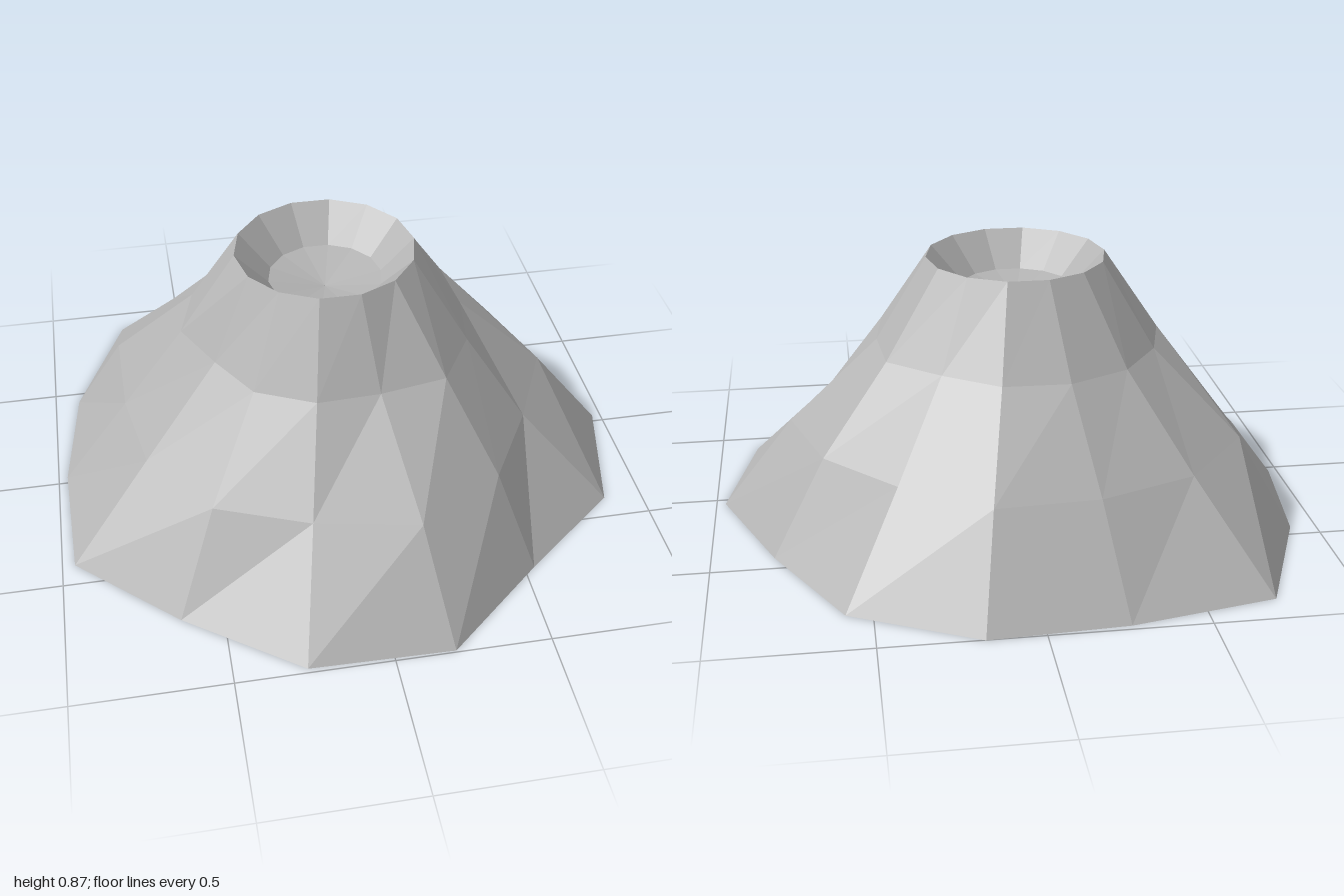
import * as THREE from 'three';

const SIDES = 14;
const CENTRE_X = -0.04, CENTRE_Z = -0.03;

// A ring of points: one radius for a regular ring, or a radius per corner.
function ring(y, radii) {
  return Array.from({ length: SIDES }, (_, i) => {
    const a = (i / SIDES) * Math.PI * 2;
    const r = Array.isArray(radii) ? radii[i] : radii;
    return [CENTRE_X + r * Math.cos(a), y, CENTRE_Z + r * Math.sin(a)];
  });
}

// Joins successive rings (first to last) with faceted triangles.
function loft(rings) {
  const pos = [];
  for (let k = 0; k < rings.length - 1; k++) {
    const lo = rings[k], hi = rings[k + 1];
    for (let i = 0; i < SIDES; i++) {
      const j = (i + 1) % SIDES;
      pos.push(...lo[i], ...hi[i], ...lo[j]);
      pos.push(...lo[j], ...hi[i], ...hi[j]);
    }
  }
  const geo = new THREE.BufferGeometry();
  geo.setAttribute('position', new THREE.Float32BufferAttribute(pos, 3));
  geo.computeVertexNormals();
  return geo;
}

export function createModel() {
  const group = new THREE.Group();
  group.name = 'volcano';

  const rock = new THREE.MeshStandardMaterial({ color: 0xb4b4b4, flatShading: true, side: THREE.DoubleSide });
  rock.name = 'grey rock';

  const add = (name, geo) => {
    const mesh = new THREE.Mesh(geo, rock);
    mesh.name = name;
    group.add(mesh);
  };

  // Uneven outer rings from the foot up to the level rim
  const foot = ring(0, [1.01, 1.01, 0.92, 1.05, 1.04, 0.955, 1.02, 0.93, 0.97, 1.1, 0.975, 0.997, 1.0, 0.93]);
  const lower = ring(0.305, [0.77, 0.70, 0.75, 0.79, 0.72, 0.74, 0.72, 0.70, 0.78, 0.77, 0.74, 0.76, 0.71, 0.74]);
  const upper = ring(0.585, [0.47, 0.49, 0.52, 0.46, 0.47, 0.47, 0.44, 0.49, 0.48, 0.49, 0.49, 0.485, 0.456, 0.5]);
  const rim = ring(0.865, 0.3);
  const craterFoot = ring(0.75, 0.19);

  add('slopes', loft([foot, lower, upper, rim]));
  add('craterWall', loft([rim, craterFoot]));
  // Shallow dished floor, open underneath
  add('craterFloor', loft([craterFoot, ring(0.71, 0.001)]));

  return group;
}
